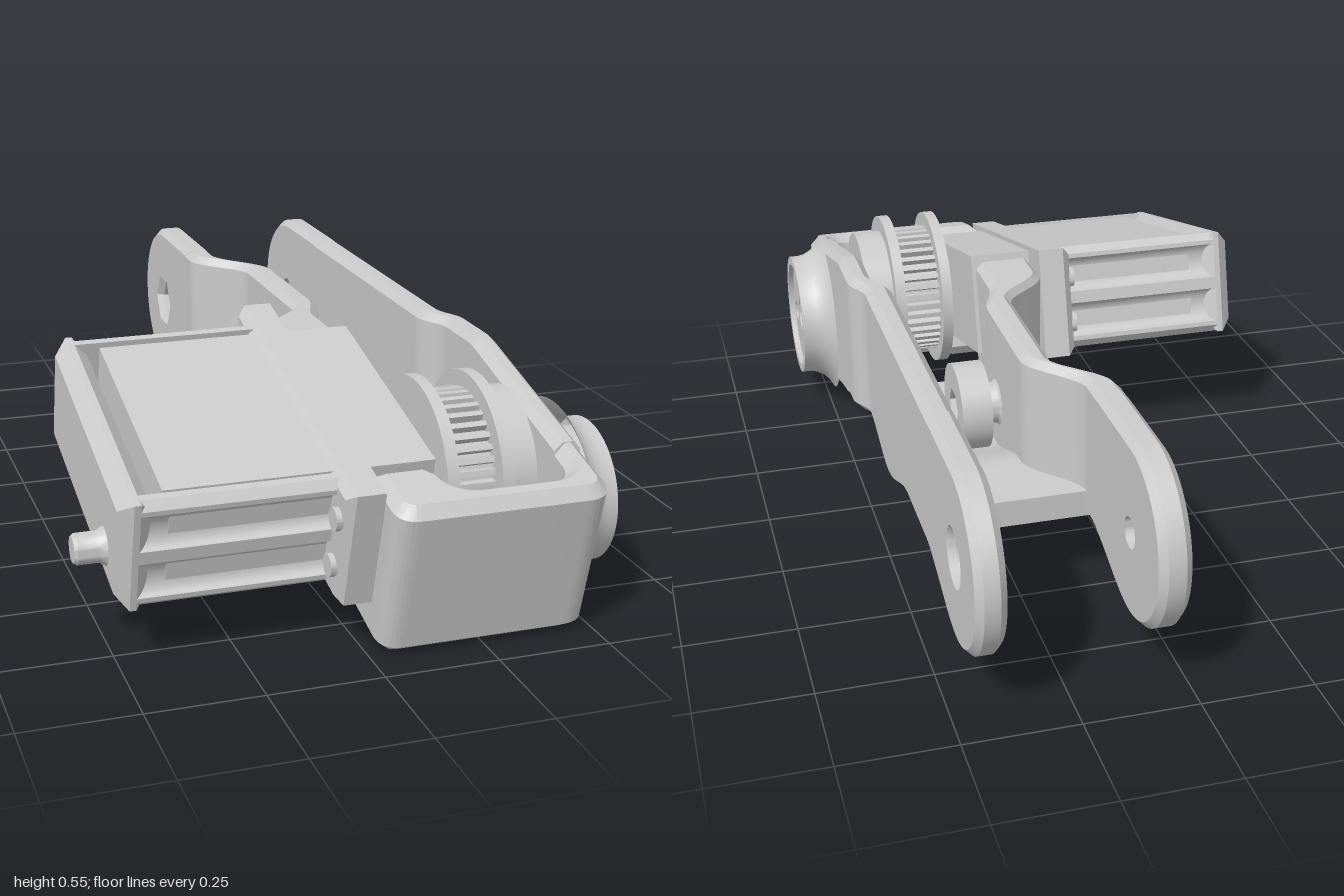
import * as THREE from 'three';
import { toCreasedNormals } from 'three/addons/utils/BufferGeometryUtils.js';

const mat = new THREE.MeshStandardMaterial({ color: 0xcccccc, side: THREE.DoubleSide });

function add(parent, name, geo, x = 0, y = 0, z = 0) {
  const m = new THREE.Mesh(toCreasedNormals(geo.index ? geo.toNonIndexed() : geo, 0.55), mat);
  m.name = name;
  m.position.set(x, y, z);
  parent.add(m);
  return m;
}

// Extrude that keeps its outline and depth when bevelled
function extrude(shape, depth, bevel = 0) {
  const g = new THREE.ExtrudeGeometry(shape, {
    depth: depth - 2 * bevel, curveSegments: 24, bevelEnabled: bevel > 0,
    bevelSize: bevel, bevelOffset: -bevel, bevelThickness: bevel, bevelSegments: 1,
  });
  return g.translate(0, 0, bevel);
}
// Shape drawn as (-z, y), extruded along +x from x0
const alongX = (shape, x0, x1, bevel) => extrude(shape, x1 - x0, bevel).rotateY(Math.PI / 2).translate(x0, 0, 0);
const poly = (pts) => new THREE.Shape(pts.map(([z, y]) => new THREE.Vector2(-z, y)));
const circle = (r, z = 0, y = 0, n = 32) => new THREE.Path(Array.from({ length: n }, (_, i) => {
  const a = (i / n) * Math.PI * 2;
  return new THREE.Vector2(-z + r * Math.cos(a), y + r * Math.sin(a));
}));
function disc(r, holes, x0, x1, bevel = 0) {
  const s = new THREE.Shape(circle(r, 0, 0, 48).getPoints());
  s.holes.push(...holes);
  return alongX(s, x0, x1, bevel);
}
const rod = (r, x0, x1, n = 40) => new THREE.CylinderGeometry(r, r, x1 - x0, n).rotateZ(-Math.PI / 2).translate((x0 + x1) / 2, 0, 0);
const lathe = (pts) => new THREE.LatheGeometry(pts.map(([r, x]) => new THREE.Vector2(r, x)), 48).rotateZ(-Math.PI / 2);

// Smooth interpolation through a few points
function blend(pts, z) {
  if (z <= pts[0][0]) return pts[0][1];
  for (let i = 1; i < pts.length; i++) {
    if (z <= pts[i][0]) {
      const t = (z - pts[i - 1][0]) / (pts[i][0] - pts[i - 1][0]);
      return THREE.MathUtils.lerp(pts[i - 1][1], pts[i][1], t * t * (3 - 2 * t));
    }
  }
  return pts[pts.length - 1][1];
}

// Side outline of the link
const bottom = (z) => (z > 0.4 ? (0.9 - z) * 0.25
  : blend([[-0.79, 0.1], [-0.5, 0.17], [-0.3, 0.17], [-0.04, 0.1], [0.2, 0.152], [0.3, 0.147], [0.4, 0.125]], z));
const top = (z) => Math.min(0.505, 0.37 + (0.95 - z) * 0.25);
// Inner and outer faces of the two arms
const leftIn = (z) => blend([[-0.5, 0.395], [0.18, 0.395], [0.27, 0.43]], z);
const leftOut = (z) => blend([[-0.5, 0.46], [0.18, 0.46], [0.27, 0.49]], z);
const rightOut = (z) => blend([[-0.5, 0.02], [-0.33, 0.13], [0.03, 0.13], [0.18, 0.02]], z);
const rightIn = (z) => blend([[-0.48, 0.09], [-0.3, 0.195], [0.01, 0.195], [0.14, 0.16]], z);

// Loft of chamfered rectangles along z; section(z) gives [x0, x1, y0, y1]
function loft(z0, z1, n, c, section) {
  const pos = [], idx = [];
  for (let i = 0; i <= n; i++) {
    const z = z0 + ((z1 - z0) * i) / n;
    const [a, b, d, e] = section(z);
    for (const [x, y] of [[a + c, d], [b - c, d], [b, d + c], [b, e - c], [b - c, e], [a + c, e], [a, e - c], [a, d + c]]) pos.push(x, y, z);
  }
  for (let i = 0; i < n; i++) for (let j = 0; j < 8; j++) {
    const p = i * 8 + j, q = i * 8 + ((j + 1) % 8);
    idx.push(p, q, q + 8, p, q + 8, p + 8);
  }
  for (let j = 1; j < 7; j++) idx.push(0, j + 1, j, n * 8, n * 8 + j, n * 8 + j + 1);
  const g = new THREE.BufferGeometry();
  g.setAttribute('position', new THREE.Float32BufferAttribute(pos, 3));
  g.setIndex(idx);
  return g;
}

// Rounded rear end of an arm with its pivot hole
function armEnd(x0, x1, holeSides) {
  const pts = [];
  for (let i = 0; i <= 8; i++) { const z = -0.54 - (0.25 * i) / 8; pts.push([z, bottom(z)]); }
  for (let i = 1; i <= 28; i++) {
    const a = (i / 28) * Math.PI;
    pts.push([-0.79 - 0.2025 * Math.sin(a), 0.3025 - 0.2025 * Math.cos(a)]);
  }
  pts.push([-0.54, 0.505]);
  const s = poly(pts);
  s.holes.push(circle(holeSides === 6 ? 0.055 : 0.05, -0.79, 0.3, holeSides));
  return alongX(s, x0, x1, 0.016);
}

export function createModel() {
  const root = new THREE.Group();
  root.name = 'actuatedLink';

  // Two arms joined by a wavy floor
  const frame = new THREE.Group();
  frame.name = 'frame';
  root.add(frame);
  add(frame, 'leftArm', loft(-0.6, 0.84, 90, 0.018, (z) => [leftIn(z), leftOut(z), bottom(z), top(z)]));
  add(frame, 'rightArm', loft(-0.6, 0.275, 70, 0.018, (z) => [rightOut(z), rightIn(z), bottom(z), top(z)]));
  add(frame, 'leftArmEnd', armEnd(0.395, 0.46, 32));
  add(frame, 'rightArmEnd', armEnd(0.02, 0.09, 6));
  add(frame, 'leftPivotSeat', disc(0.09, [circle(0.035)], 0.395, 0.43), 0, 0.3, -0.79);
  add(frame, 'rightPivotSeat', disc(0.09, [circle(0.035)], 0.06, 0.09), 0, 0.3, -0.79);
  add(frame, 'floorWeb', loft(-0.48, 0.21, 40, 0.005, (z) => [(rightOut(z) + rightIn(z)) / 2, 0.42, bottom(z) + 0.003, bottom(z) + 0.065]));
  add(frame, 'innerBoss', lathe([[0.075, 0.18], [0.05, 0.2], [0.045, 0.235]]), 0, 0.28, -0.07);
  add(frame, 'innerBossDisc', disc(0.105, [circle(0.045, 0, 0, 6)], 0.228, 0.3), 0, 0.28, -0.07);
  add(frame, 'innerBossFloor', rod(0.06, 0.232, 0.27), 0, 0.28, -0.07);

  // Tilted assembly: front bracket and motor
  const tilt = new THREE.Group();
  tilt.name = 'tiltedAssembly';
  tilt.position.set(0, 0.33, 0.525);
  tilt.rotation.x = 0.245;
  root.add(tilt);

  // Front bracket, drawn in plan as a hook that meets the left arm
  const hook = new THREE.Shape();
  hook.moveTo(0.02, 0.3);
  hook.lineTo(0.13, 0.3);
  hook.lineTo(0.16, 0.335);
  hook.quadraticCurveTo(0.165, 0.39, 0.22, 0.39);
  hook.lineTo(0.37, 0.39);
  hook.quadraticCurveTo(0.43, 0.39, 0.43, 0.33);
  hook.lineTo(0.43, 0.17);
  hook.lineTo(0.49, 0.17);
  hook.lineTo(0.49, 0.4);
  hook.quadraticCurveTo(0.49, 0.46, 0.43, 0.46);
  hook.lineTo(0.07, 0.46);
  hook.quadraticCurveTo(0.02, 0.46, 0.02, 0.41);
  hook.closePath();
  add(tilt, 'frontBracket', extrude(hook, 0.369, 0.024).rotateX(Math.PI / 2), 0, 0.14, 0);

  // Motor core and the shell around it
  add(tilt, 'motorBody', new THREE.BoxGeometry(0.58, 0.25, 0.55), -0.12, 0, 0);
  add(tilt, 'motorCore', new THREE.BoxGeometry(0.36, 0.2, 0.6), -0.22, 0, 0);
  const rect = (u, v) => poly([[u, -v], [-u, -v], [-u, v], [u, v]]);
  add(tilt, 'motorEndWall', alongX(rect(0.3225, 0.13), -0.505, -0.435, 0.028));
  for (const s of [1, -1]) {
    // Shell side with two scooped grooves
    const pts = [[0.288, -0.13], [0.305, -0.13], [0.3225, -0.112]];
    for (const v of [-0.058, 0.058]) for (let i = 0; i <= 10; i++) {
      const a = (i / 10) * Math.PI;
      pts.push([0.3225 - 0.026 * Math.sin(a), v - 0.043 * Math.cos(a)]);
    }
    pts.push([0.3225, 0.112], [0.305, 0.13], [0.288, 0.13]);
    add(tilt, 'motorShellSide', alongX(poly(pts.map(([u, v]) => [s * u, v])), -0.465, -0.05));
    for (const v of [-0.058, 0.058]) add(tilt, 'flangeScrew', rod(0.025, -0.072, -0.05, 20), 0, v, s * 0.345);
  }

  // Mounting flange with one chamfered face
  add(tilt, 'mountingFlange', alongX(rect(0.385, 0.137), -0.06, 0, 0.018));
  add(tilt, 'mountingFlangeBase', new THREE.BoxGeometry(0.06, 0.274, 0.77), -0.01, 0, 0);

  // Toothed pulley on the motor shaft
  const pulley = new THREE.Group();
  pulley.name = 'pulley';
  pulley.position.set(0, 0.3, 0.655);
  root.add(pulley);
  const teeth = [];
  for (let i = 0; i < 40; i++) [0.153, 0.17, 0.17, 0.153].forEach((r, k) => {
    const a = ((i + [0.1, 0.22, 0.68, 0.8][k]) / 40) * Math.PI * 2;
    teeth.push([-r * Math.cos(a), r * Math.sin(a)]);
  });
  add(pulley, 'pulleyTeeth', alongX(poly(teeth), 0.2, 0.32));
  add(pulley, 'pulleyFlange', rod(0.205, 0.185, 0.212, 56));
  add(pulley, 'pulleyFlange', rod(0.205, 0.308, 0.335, 56));
  add(pulley, 'pulleyHub', rod(0.165, 0.33, 0.405, 48));
  add(pulley, 'pulleyShaft', rod(0.035, 0.16, 0.44, 24));

  // Output horn on the left and bearing stub on the right share one axis
  const output = new THREE.Group();
  output.name = 'outputAxis';
  output.position.set(0, 0.234, 0.713);
  root.add(output);
  add(output, 'hornCollar', lathe([[0.21, 0.486], [0.19, 0.497], [0.173, 0.513], [0.163, 0.532], [0.159, 0.55], [0.159, 0.572], [0.138, 0.572], [0.138, 0.55]]));
  add(output, 'hornDisc', disc(0.14, [circle(0.042), circle(0.025, 0.02, 0.095), circle(0.025, 0.09, -0.025), circle(0.025, -0.03, -0.095)], 0.49, 0.558));
  add(output, 'bearingStub', lathe([[0.05, -0.49], [0.04, -0.507], [0.033, -0.52], [0.033, -0.565], [0.028, -0.572], [0, -0.572]].reverse()));

  return root;
}
